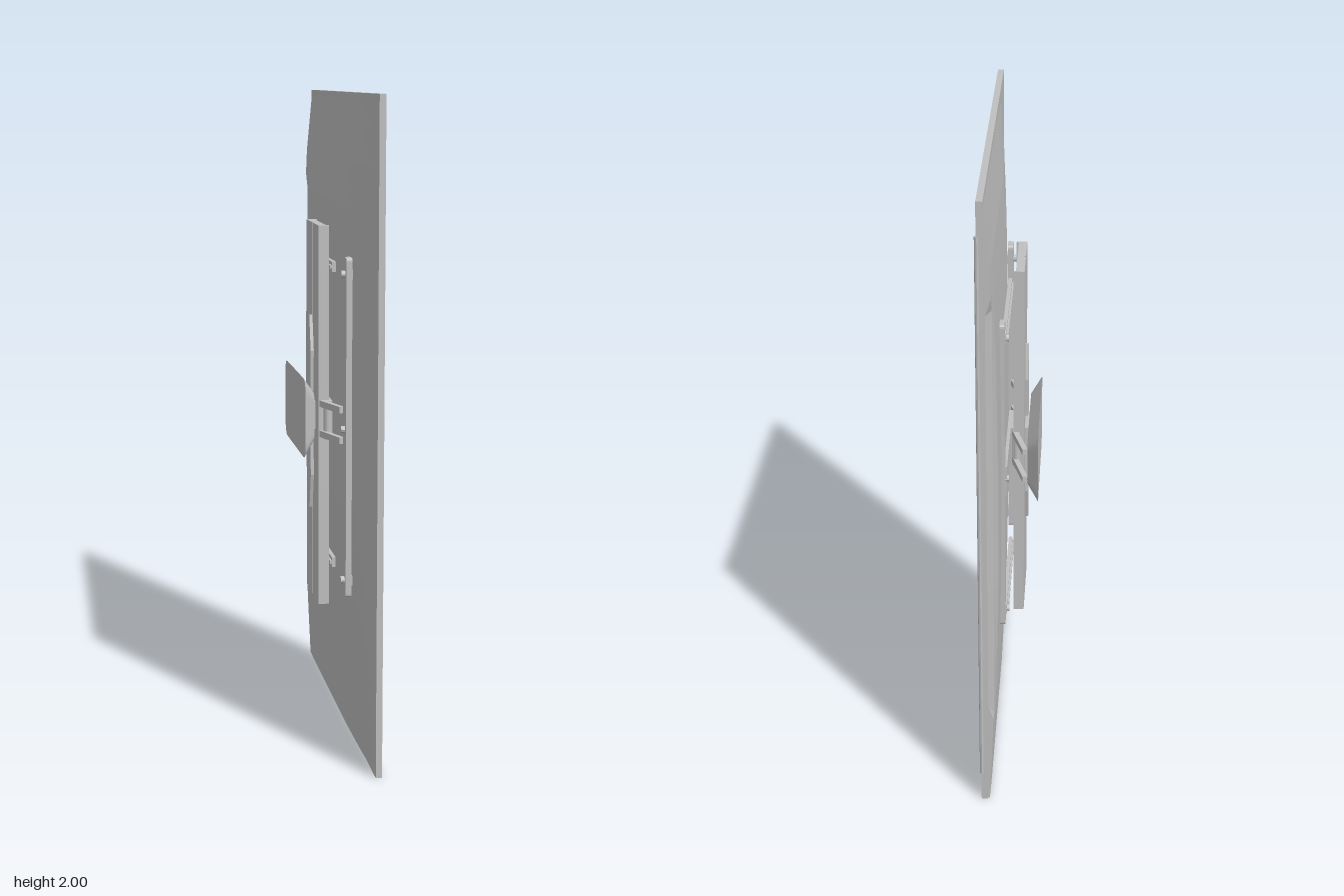
import * as THREE from 'three';

const grey = new THREE.MeshStandardMaterial({ color: 0xc0c0c0, flatShading: true });
grey.name = 'satin grey';

function add(parent, name, geometry) {
  const mesh = new THREE.Mesh(geometry, grey);
  mesh.name = name;
  parent.add(mesh);
  return mesh;
}

// Box given by its lower and upper limits on each axis
function block(parent, name, [x0, x1], [y0, y1], [z0, z1]) {
  const g = new THREE.BoxGeometry(x1 - x0, y1 - y0, z1 - z0);
  g.translate((x0 + x1) / 2, (y0 + y1) / 2, (z0 + z1) / 2);
  return add(parent, name, g);
}

// Flat outline drawn in (z, y), extruded along x from x0 to x1
function slab(shape, x0, x1, curveSegments = 6) {
  const g = new THREE.ExtrudeGeometry(shape, { depth: x1 - x0, bevelEnabled: false, curveSegments });
  return g.rotateY(Math.PI / 2).translate(x0, 0, 0);
}

function roundedRect(w, h, r) {
  const s = new THREE.Shape(), a = w / 2, b = h / 2;
  s.moveTo(-a + r, -b).lineTo(a - r, -b).quadraticCurveTo(a, -b, a, -b + r);
  s.lineTo(a, b - r).quadraticCurveTo(a, b, a - r, b);
  s.lineTo(-a + r, b).quadraticCurveTo(-a, b, -a, b - r);
  s.lineTo(-a, -b + r).quadraticCurveTo(-a, -b, -a + r, -b);
  return s;
}

// Linear interpolation through [position, value] pairs
function curve(points, t) {
  for (let i = 1; i < points.length; i++) {
    const [a, va] = points[i - 1], [b, vb] = points[i];
    if (t <= b) return va + (vb - va) * Math.max(0, (t - a) / (b - a));
  }
  return points[points.length - 1][1];
}

// Bulged rear shell, tapering to three edges, with a sloped recess along one long edge
function housingGeometry() {
  const rimX = 0.06;
  const alongY = [[0, 0.3], [0.15, 0.5], [0.4, 0.8], [0.75, 0.97], [1, 1], [1.25, 0.97], [1.6, 0.85], [1.8, 0.6], [2, 0.05]];
  const alongZ = [[-0.59, 0.9], [-0.5, 1], [0.15, 1], [0.35, 0.72], [0.59, 0.1]];
  const ys = [0.003, 0.003, 0.08, 0.15, 0.25, 0.31, 0.36, 0.5, 0.75, 1, 1.25, 1.5, 1.67, 1.72, 1.8, 1.9, 1.997, 1.997];
  const zs = [-0.588, -0.588, -0.55, -0.51, -0.49, -0.3, -0.1, 0.15, 0.25, 0.35, 0.47, 0.588, 0.588];
  const pos = [], index = [], n = zs.length;
  ys.forEach((y, i) => zs.forEach((z, j) => {
    const rim = i === 0 || j === 0 || i === ys.length - 1 || j === n - 1;
    let x = rimX - 0.038 * curve(alongY, y) * curve(alongZ, z);
    if (y > 0.33 && y < 1.7) x = Math.max(x, curve([[-0.588, 0.052], [-0.51, 0.018]], z));
    pos.push(rim ? rimX : x, y, z);
  }));
  for (let i = 0; i < ys.length - 1; i++) {
    for (let j = 0; j < n - 1; j++) {
      const a = i * n + j;
      index.push(a, a + 1, a + n, a + 1, a + n + 1, a + n);
    }
  }
  const g = new THREE.BufferGeometry();
  g.setAttribute('position', new THREE.Float32BufferAttribute(pos, 3));
  g.setIndex(index);
  g.computeVertexNormals();
  return g;
}

// Flat arm in the horizontal plane between two (x, z) points
function arm(parent, name, [x0, z0], [x1, z1], y, height, thickness) {
  const length = Math.hypot(x1 - x0, z1 - z0);
  const m = add(parent, name, new THREE.BoxGeometry(thickness, height, length));
  m.position.set((x0 + x1) / 2, y, (z0 + z1) / 2);
  m.rotation.y = Math.atan2(x1 - x0, z1 - z0);
}

export function createModel() {
  const model = new THREE.Group();
  model.name = 'wallScreen';

  // Screen
  const screen = new THREE.Group();
  screen.name = 'screen';
  model.add(screen);
  block(screen, 'frontPanel', [0.056, 0.075], [0, 2], [-0.59, 0.59]);
  add(screen, 'rearHousing', housingGeometry());
  const lip = add(screen, 'edgeLip', new THREE.CylinderGeometry(0.007, 0.007, 1.8, 8));
  lip.position.set(0.073, 1, -0.585);

  // Wall mount
  const mount = new THREE.Group();
  mount.name = 'wallMount';
  model.add(mount);

  // Dished wall cover, narrowing toward the screen
  const cover = slab(roundedRect(0.425, 0.25, 0.045), -0.086, -0.052);
  const p = cover.attributes.position;
  for (let i = 0; i < p.count; i++) {
    if (p.getX(i) > -0.06) p.setXYZ(i, p.getX(i), p.getY(i) * 0.62, p.getZ(i) * 0.83);
  }
  add(mount, 'wallCover', cover.translate(0, 1.005, -0.047));

  // Long wall channel made of two side profiles and a web
  block(mount, 'channelWeb', [-0.033, -0.012], [0.4, 1.6], [-0.112, 0.118]);
  for (const [z0, z1] of [[-0.115, -0.002], [0.006, 0.12]]) {
    block(mount, 'channelFace', [-0.038, -0.032], [0.4, 1.6], [z0, z1]);
  }
  for (const z of [-0.112, 0.117]) {
    block(mount, 'channelFlange', [-0.038, -0.005], [0.4, 1.6], [z - 0.003, z + 0.003]);
  }

  // Tapered ribs above and below the cover
  for (const side of [-1, 1]) {
    const rib = new THREE.Shape();
    rib.moveTo(-0.022, 0.07).lineTo(0.022, 0.07).lineTo(0.03, 0.2).lineTo(0.004, 0.31);
    rib.lineTo(-0.004, 0.31).lineTo(-0.03, 0.2).closePath();
    const g = slab(rib, -0.048, -0.036);
    if (side < 0) g.rotateX(Math.PI);
    add(mount, 'taperedRib', g.translate(0, 1, 0));
  }

  // Pivot and folding arms
  block(mount, 'pivotBlock', [-0.055, 0.012], [0.955, 1.045], [-0.06, 0.06]);
  for (const y of [0.955, 1.05]) {
    arm(mount, 'foldingArm', [-0.045, -0.225], [-0.008, -0.1], y, 0.02, 0.016);
    arm(mount, 'foldingArm', [-0.03, 0.13], [0.012, 0.25], y, 0.02, 0.016);
  }
  for (const [x, z] of [[-0.015, -0.105], [-0.012, 0.14]]) {
    const pin = add(mount, 'pivotPin', new THREE.CylinderGeometry(0.014, 0.014, 0.12, 12));
    pin.position.set(x, 1, z);
  }
  block(mount, 'armBracket', [0.006, 0.016], [0.945, 1.045], [-0.31, 0.06]);

  // Rails bolted to the housing
  for (const z of [-0.3, 0.3]) {
    const rail = slab(roundedRect(0.05, 1.04, 0.01), 0.012, 0.03, 3);
    add(mount, 'rail', rail.translate(0, 1, z));
    for (const y of [0.53, 1, 1.47]) {
      const bolt = add(mount, 'railBolt', new THREE.CylinderGeometry(0.011, 0.011, 0.014, 10));
      bolt.rotation.z = Math.PI / 2;
      bolt.position.set(0.007, y, z);
    }
    for (const y of [0.53, 1.47]) {
      block(mount, 'railSpacer', [0.025, 0.056], [y - 0.015, y + 0.015], [z - 0.015, z + 0.015]);
    }
  }

  // Cross bars joining the rail to the channel
  for (const y of [0.53, 1.47]) {
    block(mount, 'crossBar', [0.008, 0.02], [y - 0.016, y + 0.016], [-0.31, 0.1]);
    block(mount, 'crossBarRidge', [0.002, 0.009], [y - 0.005, y + 0.005], [-0.28, 0.1]);
  }
  return model;
}
